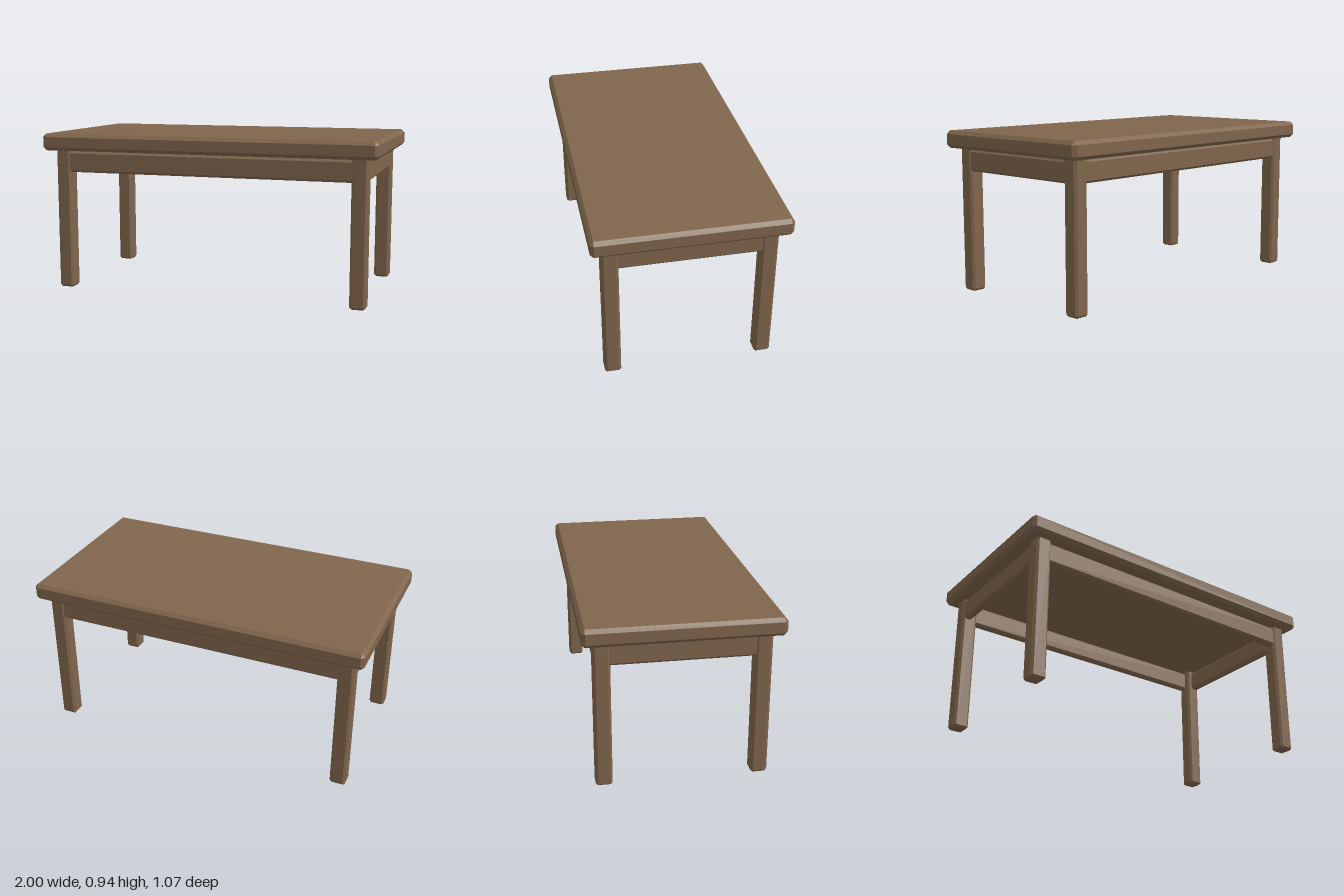
import * as THREE from 'three';
import { ConvexGeometry } from 'three/addons/geometries/ConvexGeometry.js';

// Box with every edge cut at 45 degrees by c
function chamferedBox(w, h, d, c) {
  const points = [];
  for (const sx of [-1, 1]) for (const sy of [-1, 1]) for (const sz of [-1, 1]) {
    const x = w / 2, y = h / 2, z = d / 2;
    points.push(
      new THREE.Vector3(sx * x, sy * (y - c), sz * (z - c)),
      new THREE.Vector3(sx * (x - c), sy * y, sz * (z - c)),
      new THREE.Vector3(sx * (x - c), sy * (y - c), sz * z),
    );
  }
  return new ConvexGeometry(points);
}

export function createModel() {
  const table = new THREE.Group();
  table.name = 'table';
  const wood = new THREE.MeshStandardMaterial({ color: 0x80664d, flatShading: true });

  function add(name, geometry, x, y, z) {
    const mesh = new THREE.Mesh(geometry, wood);
    mesh.name = name;
    mesh.position.set(x, y, z);
    table.add(mesh);
  }

  // Table top
  add('tableTop', chamferedBox(2, 0.1, 1.072, 0.02), 0, 0.887, 0);

  // Legs, running a little way into the top
  const legX = 0.892, legZ = 0.43;
  const leg = chamferedBox(0.092, 0.855, 0.092, 0.013);
  for (const [sideName, sx] of [['Left', 1], ['Right', -1]])
    for (const [endName, sz] of [['front', 1], ['back', -1]])
      add(`${endName}${sideName}Leg`, leg, sx * legX, 0.4275, sz * legZ);

  // Aprons between the legs, just behind their outer faces and just below the top
  const thick = 0.052, apronY = 0.768, apronH = 0.125;
  const longApron = chamferedBox(1.76, apronH, thick, 0.013);
  const shortApron = chamferedBox(thick, apronH, 0.84, 0.013);
  const apronX = 0.931 - thick / 2, apronZ = 0.47 - thick / 2;
  add('frontApron', longApron, 0, apronY, apronZ);
  add('backApron', longApron, 0, apronY, -apronZ);
  add('leftApron', shortApron, apronX, apronY, 0);
  add('rightApron', shortApron, -apronX, apronY, 0);

  return table;
}
